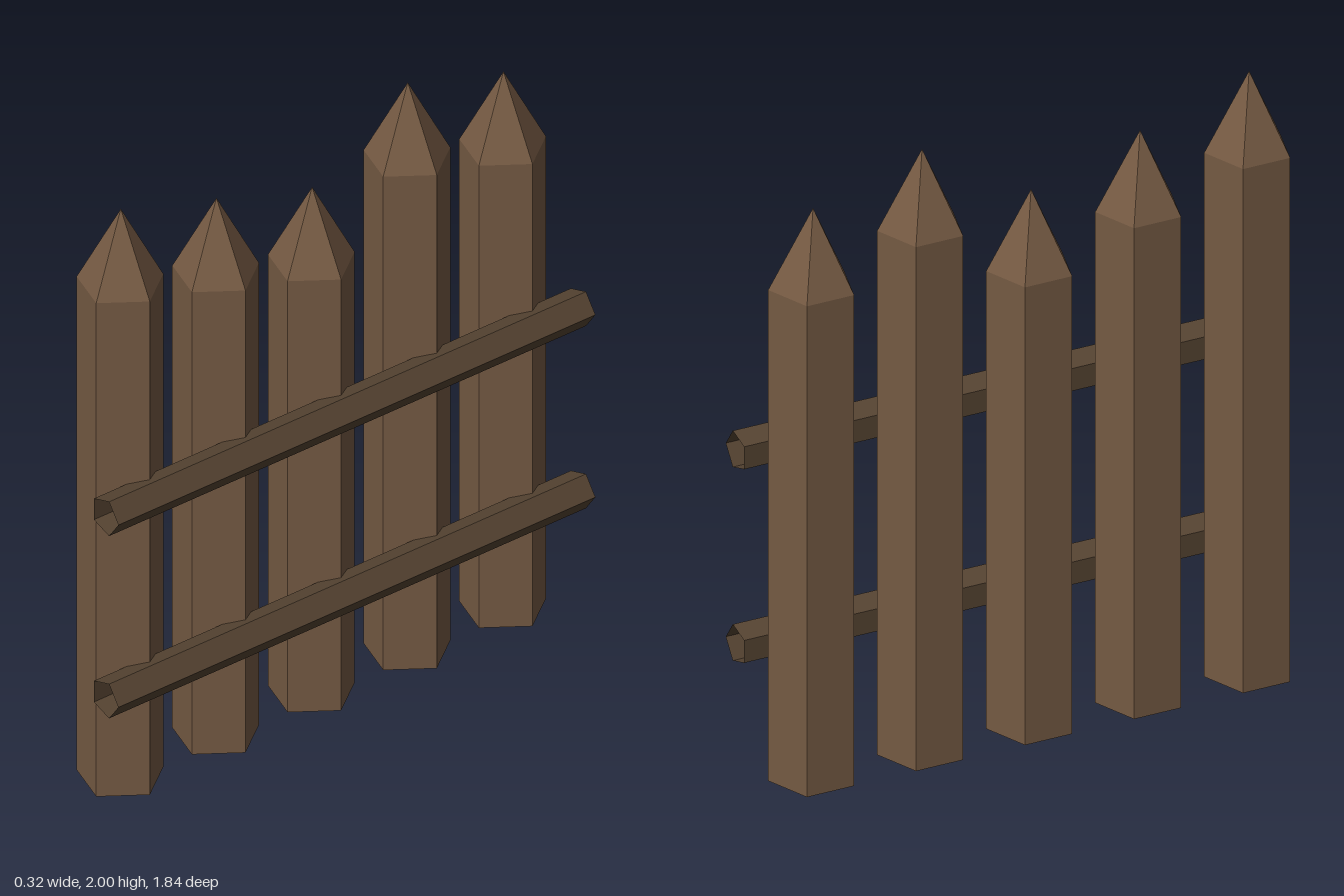
import * as THREE from 'three';

const postWood = new THREE.MeshStandardMaterial({ color: 0x755a43, flatShading: true, side: THREE.DoubleSide });
postWood.name = 'postWood';
const railWood = new THREE.MeshStandardMaterial({ color: 0x564432, flatShading: true, side: THREE.DoubleSide });
railWood.name = 'railWood';

const SIDES = 5;
const POST_RADIUS = 0.136;
const POST_X = -0.05;
const POINT_HEIGHT = 0.26;
const RAIL_RADIUS = 0.0635;

// Upright five-sided stake with a pyramid point; one corner faces the rails (+x)
function makePost(height, z) {
  const post = new THREE.Group();
  post.name = 'post';
  const shaftHeight = height - POINT_HEIGHT;

  const shaft = new THREE.Mesh(
    new THREE.CylinderGeometry(POST_RADIUS, POST_RADIUS, shaftHeight, SIDES, 1, true, Math.PI / 2), postWood);
  shaft.name = 'postShaft';
  shaft.position.y = shaftHeight / 2;

  const point = new THREE.Mesh(
    new THREE.ConeGeometry(POST_RADIUS, POINT_HEIGHT, SIDES, 1, true, Math.PI / 2), postWood);
  point.name = 'postPoint';
  point.position.y = shaftHeight + POINT_HEIGHT / 2;

  post.add(shaft, point);
  post.position.set(POST_X, 0, z);
  return post;
}

// Open-ended five-sided pole along z, with a corner facing outward (+x)
function makeRail(y) {
  const geometry = new THREE.CylinderGeometry(RAIL_RADIUS, RAIL_RADIUS, 1.84, SIDES, 1, true, Math.PI / 2);
  geometry.rotateX(Math.PI / 2);
  const rail = new THREE.Mesh(geometry, railWood);
  rail.name = 'rail';
  rail.position.set(0.0965, y, 0);
  return rail;
}

export function createModel() {
  const fence = new THREE.Group();
  fence.name = 'fence';

  // Posts from front to back, in repeating heights
  [2, 1.89, 1.78, 2, 1.89].forEach((height, i) => fence.add(makePost(height, 0.738 - i * 0.369)));

  // Lower and upper rails
  [0.418, 1.061].forEach((y) => fence.add(makeRail(y)));

  return fence;
}
